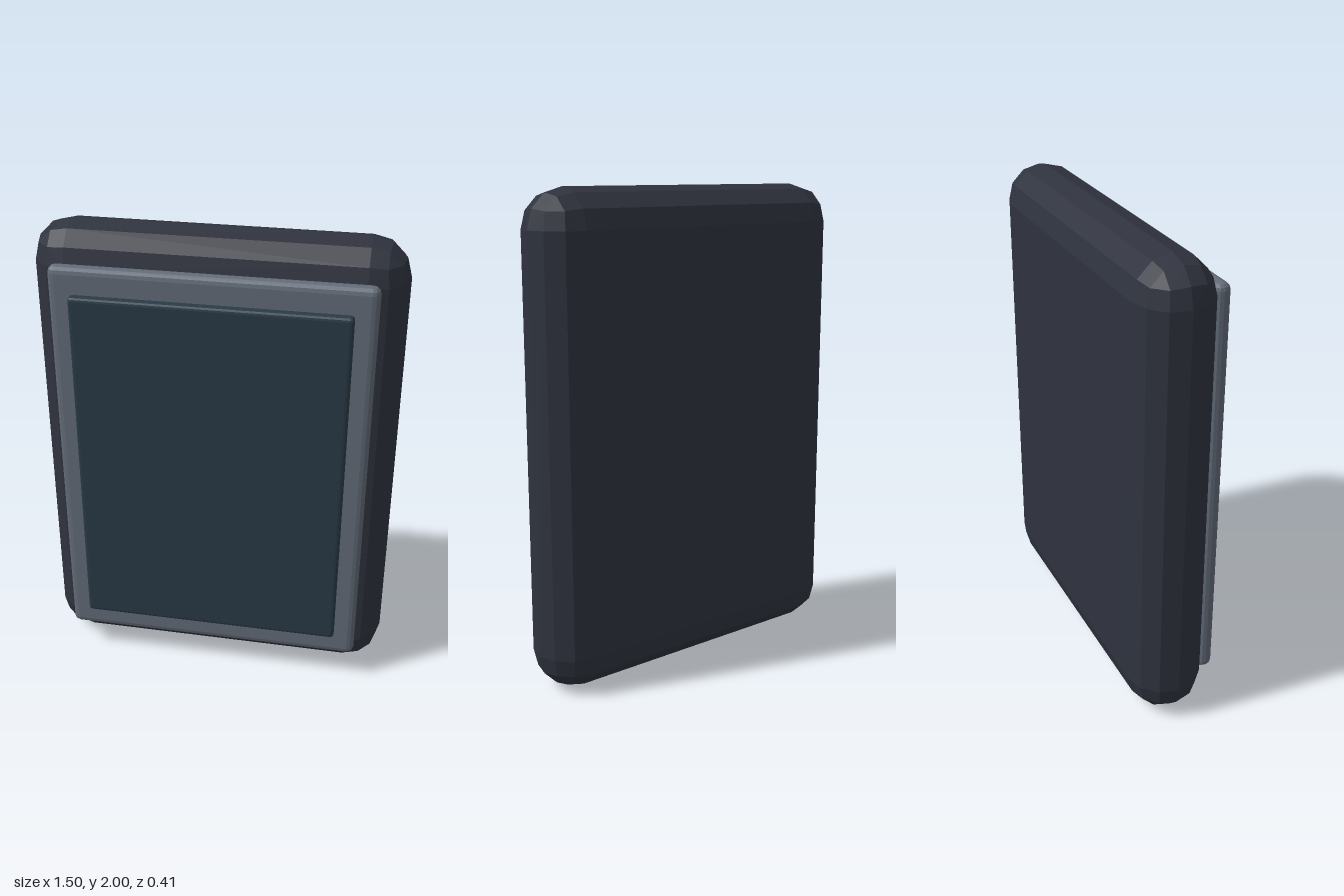
import * as THREE from 'three';
import { ConvexGeometry } from 'three/addons/geometries/ConvexGeometry.js';

// Directions over one rounded corner: three bevel steps along each edge, three points inside
function cornerDirections() {
  const dirs = new Map();
  const add = (x, y, z) => {
    const d = new THREE.Vector3(x, y, z).normalize();
    dirs.set(d.toArray().map((v) => v.toFixed(4)).join(), d);
  };
  const s = Math.sqrt(3);
  for (let axis = 0; axis < 3; axis++) {
    for (const [a, b, c] of [[1, 0, 0], [s, 1, 0], [1, s, 0], [s, 1, 1]]) {
      const p = [0, 0, 0];
      p[axis] = a;
      p[(axis + 1) % 3] = b;
      p[(axis + 2) % 3] = c;
      add(...p);
    }
  }
  return [...dirs.values()];
}

// Box with faceted bevels of the given radius
function beveledBox(width, height, depth, radius) {
  const core = new THREE.Vector3(width, height, depth).multiplyScalar(0.5).subScalar(radius);
  const points = new Map();
  for (const sx of [-1, 1]) for (const sy of [-1, 1]) for (const sz of [-1, 1]) {
    const sign = new THREE.Vector3(sx, sy, sz);
    for (const dir of cornerDirections()) {
      const p = dir.clone().multiplyScalar(radius).add(core).multiply(sign);
      // corners that meet share their points
      points.set(p.toArray().map((v) => Math.round(v * 1e4)).join(), p);
    }
  }
  return new ConvexGeometry([...points.values()]);
}

export function createModel() {
  const group = new THREE.Group();

  function addPart(name, color, [width, height], [back, front], radius) {
    const mesh = new THREE.Mesh(
      beveledBox(width, height, front - back, radius),
      new THREE.MeshStandardMaterial({ color, flatShading: true })
    );
    mesh.name = name;
    mesh.position.set(0, 1, (back + front) / 2);
    group.add(mesh);
  }

  // Thick body with fully rounded sides
  addPart('body', 0x2f333e, [1.5, 2], [-0.205, 0.111], 0.158);
  // Raised plate bordering the screen
  addPart('bezel', 0x626b77, [1.29, 1.74], [0.105, 0.17], 0.03);
  // Thin screen on the plate
  addPart('screen', 0x283a46, [1.112, 1.522], [0.155, 0.205], 0.016);

  return group;
}
